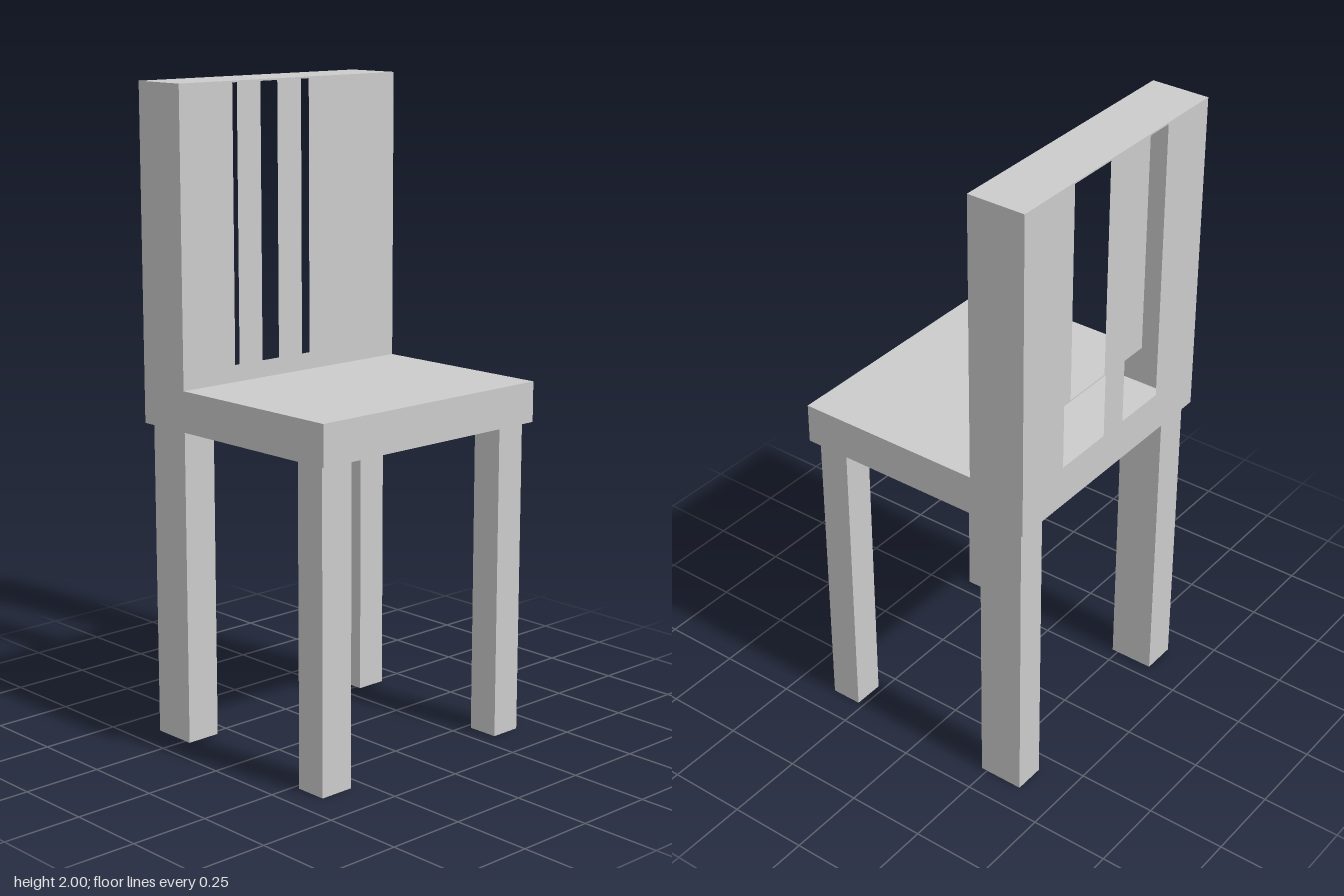
import * as THREE from 'three';

const material = new THREE.MeshStandardMaterial({ color: 0xcccccc, side: THREE.DoubleSide });

// Main dimensions: the chair faces +x, its body is a thin hollow L-shaped shell
const BACK = -0.395, STEP = -0.21, FRONT = 0.395, HALF = 0.43;
const BOTTOM = 0.98, SEAT = 1.105, TOP = 2;

function add(parent, name, geometry, x = 0, y = 0, z = 0) {
  const mesh = new THREE.Mesh(geometry, material);
  mesh.name = name;
  mesh.position.set(x, y, z);
  parent.add(mesh);
  return mesh;
}

function polygon(points) {
  return points.map(([x, y]) => new THREE.Vector2(x, y));
}

function rectangle(x0, x1, y0, y1) {
  return polygon([[x0, y0], [x1, y0], [x1, y1], [x0, y1]]);
}

// Horizontal sheet over the full width of the chair
function sheet(parent, name, x0, x1, y) {
  const geometry = new THREE.PlaneGeometry(x1 - x0, 2 * HALF).rotateX(-Math.PI / 2);
  add(parent, name, geometry, (x0 + x1) / 2, y, 0);
}

// Upright panel facing +x; with windows it leaves a centre slat between two openings
function panel(parent, name, x, y0, y1, windows) {
  const shape = new THREE.Shape(rectangle(-HALF, HALF, y0, y1));
  if (windows) {
    // Shape x runs along -z
    for (const [a, b] of [[-0.23, -0.055], [0.04, 0.24]]) {
      shape.holes.push(new THREE.Path(rectangle(a, b, 1.11, 1.995)));
    }
  }
  add(parent, name, new THREE.ShapeGeometry(shape).rotateY(Math.PI / 2), x);
}

export function createModel() {
  const chair = new THREE.Group();
  chair.name = 'chair';

  // Hollow seat and backrest
  const body = new THREE.Group();
  body.name = 'seatAndBackrest';
  chair.add(body);

  const profile = new THREE.Shape(polygon([
    [BACK, BOTTOM], [FRONT, BOTTOM], [FRONT, SEAT], [STEP, SEAT], [STEP, TOP], [BACK, TOP],
  ]));
  add(body, 'leftSide', new THREE.ShapeGeometry(profile), 0, 0, HALF);
  add(body, 'rightSide', new THREE.ShapeGeometry(profile), 0, 0, -HALF);

  sheet(body, 'seatUnderside', BACK, FRONT, BOTTOM);
  sheet(body, 'seatTop', STEP, FRONT, SEAT);
  sheet(body, 'backrestTop', BACK, STEP, TOP);
  panel(body, 'seatFrontEdge', FRONT, BOTTOM, SEAT, false);
  panel(body, 'backrestFront', STEP, SEAT, TOP, true);
  panel(body, 'backrestRear', BACK, BOTTOM, TOP, true);

  // Legs: the rear pair is deeper than the front pair
  for (const [name, x0, x1] of [['rearLeg', -0.375, -0.23], ['frontLeg', 0.27, 0.37]]) {
    for (const [side, z0, z1] of [['Left', 0.30, 0.412], ['Right', -0.41, -0.31]]) {
      const geometry = new THREE.BoxGeometry(x1 - x0, BOTTOM, z1 - z0);
      add(chair, name + side, geometry, (x0 + x1) / 2, BOTTOM / 2, (z0 + z1) / 2);
    }
  }

  return chair;
}
